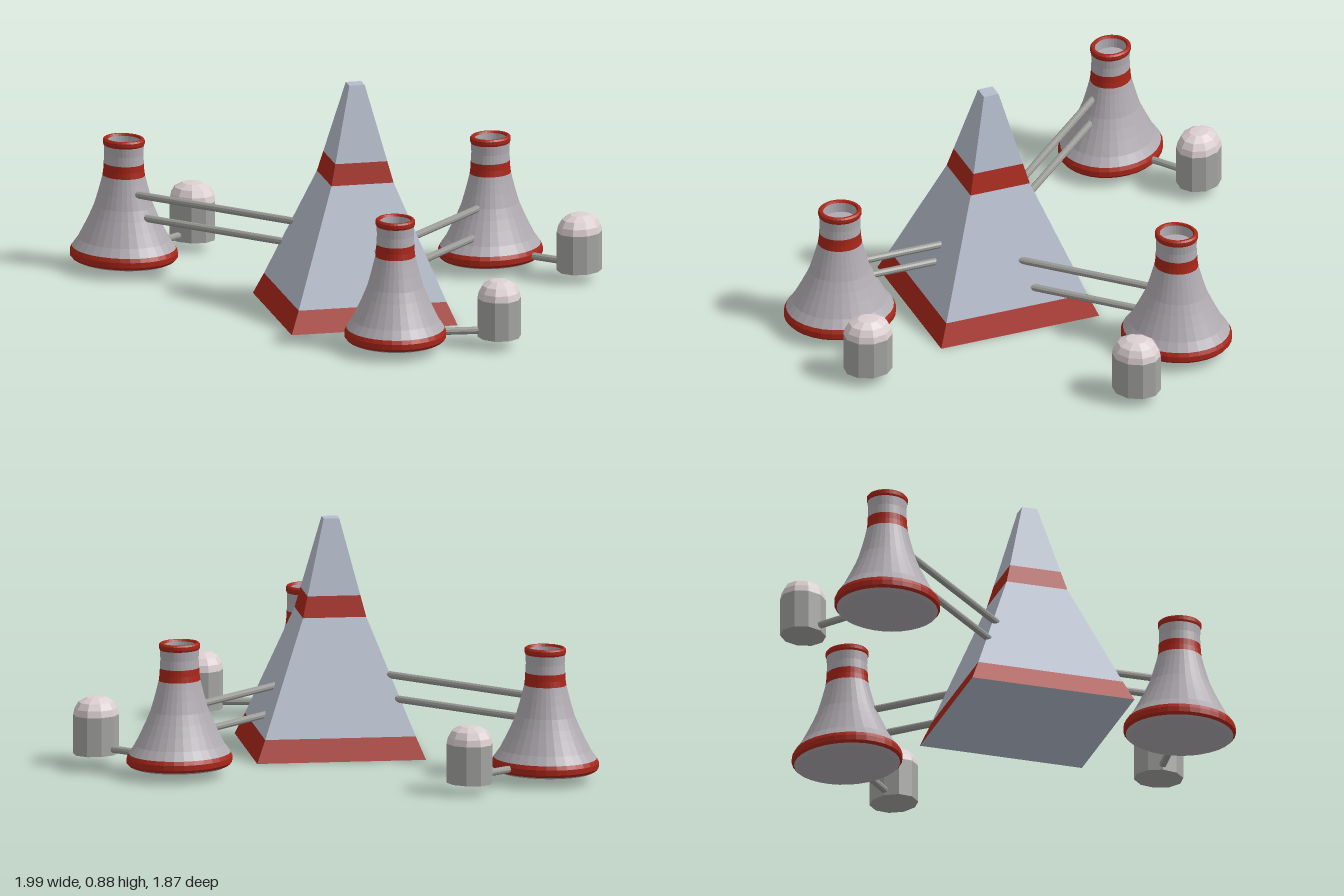
import * as THREE from 'three';

const mat = (color) => new THREE.MeshStandardMaterial({ color, flatShading: true });
const RED = mat(0xa82619);
const SLATE = mat(0xb4bccb);
const SHELL = mat(0xb0abb1);
const PIPE = mat(0x9a9a96);
const TANK = mat(0xa4a4a2);
const DOME = mat(0xdccfd1);

function add(parent, name, geometry, material) {
  const mesh = new THREE.Mesh(geometry, material);
  mesh.name = name;
  parent.add(mesh);
  return mesh;
}

// Surface of revolution from [radius, height] pairs, listed upward on the outside
function lathe(pairs, sides) {
  return new THREE.LatheGeometry(pairs.map(([r, y]) => new THREE.Vector2(r, y)), sides);
}

// Square tapering section given by half widths
function frustum(y0, h0, y1, h1, open) {
  const g = new THREE.CylinderGeometry(h1 * Math.SQRT2, h0 * Math.SQRT2, y1 - y0, 4, 1, open);
  return g.rotateY(Math.PI / 4).translate(0, (y0 + y1) / 2, 0);
}

// Round pipe between two points
function pipe(parent, name, a, b, r = 0.014) {
  const from = new THREE.Vector3(...a), to = new THREE.Vector3(...b);
  const dir = to.clone().sub(from);
  const mesh = add(parent, name, new THREE.CylinderGeometry(r, r, dir.length(), 10), PIPE);
  mesh.position.copy(from).add(to).multiplyScalar(0.5);
  mesh.quaternion.setFromUnitVectors(new THREE.Vector3(0, 1, 0), dir.normalize());
}

// Striped four-sided main building
function makePyramid() {
  const g = new THREE.Group();
  g.name = 'pyramid';
  const levels = [[0, 0.323], [0.085, 0.288], [0.52, 0.121], [0.6, 0.101], [0.885, 0.03]];
  const names = ['baseBand', 'lowerWalls', 'upperBand', 'peak'];
  names.forEach((name, i) => {
    const [y0, h0] = levels[i], [y1, h1] = levels[i + 1];
    add(g, name, frustum(y0, h0, y1, h1, true), i % 2 ? SLATE : RED);
  });
  const top = new THREE.PlaneGeometry(0.06, 0.06).rotateX(-Math.PI / 2).translate(0, 0.885, 0);
  add(g, 'peakCap', top, SLATE);
  const floor = new THREE.PlaneGeometry(0.646, 0.646).rotateX(Math.PI / 2);
  add(g, 'floor', floor, SLATE);
  g.position.set(0.017, 0, 0.113);
  g.rotation.y = 0.132;
  return g;
}

// Flared cooling tower, slightly oval, with a hollow mouth
function makeTower() {
  const g = new THREE.Group();
  g.name = 'coolingTower';
  const n = 32;
  add(g, 'underside', lathe([[0, 0.035], [0.172, 0.035], [0.185, 0.042]], n), SHELL);
  add(g, 'footBand', lathe([[0.185, 0.042], [0.193, 0.052], [0.193, 0.072], [0.186, 0.087]], n), RED);
  add(g, 'flaredWall', lathe([[0.186, 0.087], [0.164, 0.12], [0.14, 0.17], [0.122, 0.21],
    [0.106, 0.25], [0.092, 0.3], [0.082, 0.34], [0.076, 0.367]], n), SHELL);
  add(g, 'neckBand', lathe([[0.076, 0.367], [0.073, 0.39], [0.072, 0.415]], n), RED);
  add(g, 'neck', lathe([[0.072, 0.415], [0.07, 0.45], [0.072, 0.485]], n), SHELL);
  add(g, 'rim', lathe([[0.072, 0.485], [0.075, 0.492], [0.075, 0.505], [0.07, 0.511],
    [0.062, 0.511], [0.058, 0.503]], n), RED);
  add(g, 'mouth', lathe([[0.058, 0.503], [0.056, 0.465], [0, 0.465]], n), SHELL);
  g.scale.z = 1.11;
  return g;
}

// Faceted storage tank with a domed lid
function makeTank() {
  const g = new THREE.Group();
  g.name = 'storageTank';
  const n = 10;
  add(g, 'tankBody', lathe([[0, 0.04], [0.083, 0.04], [0.083, 0.19]], n).rotateY(Math.PI / 2), TANK);
  add(g, 'tankDome', lathe([[0.083, 0.19], [0.078, 0.215], [0.064, 0.24], [0.035, 0.257],
    [0, 0.26]], n).rotateY(Math.PI / 2), DOME);
  g.scale.z = 1.14;
  return g;
}

// Tower and tank joined by a low pipe; the tank lies along local +x
function makeStation(x, z, angle) {
  const g = new THREE.Group();
  g.name = 'towerStation';
  const tank = makeTank();
  tank.position.x = 0.396;
  g.add(makeTower(), tank);
  pipe(g, 'tankPipe', [0.15, 0.064, 0], [0.34, 0.064, 0]);
  g.position.set(x, 0, z);
  g.rotation.y = angle;
  return g;
}

export function createModel() {
  const model = new THREE.Group();
  model.name = 'powerPlant';
  model.add(makePyramid());

  // Each station with its feed pipes: heights, start at the tower, end in the pyramid
  const stations = [
    { x: -0.797, z: -0.576, angle: 0.757, heights: [0.308, 0.22], from: [-0.76, -0.50], to: [-0.18, -0.03] },
    { x: 0.59, z: -0.476, angle: -0.647, heights: [0.25, 0.145], from: [0.53, -0.38], to: [0.21, 0.06] },
    { x: 0.11, z: 0.718, angle: 0.02, heights: [0.278, 0.213], from: [0.125, 0.64], to: [0.08, 0.29] },
  ];
  for (const s of stations) {
    model.add(makeStation(s.x, s.z, s.angle));
    s.heights.forEach((y, i) => {
      const shift = i * 0.008;
      pipe(model, i ? 'lowerFeedPipe' : 'upperFeedPipe',
        [s.from[0] + shift, y, s.from[1]], [s.to[0] + shift, y, s.to[1]]);
    });
  }
  return model;
}
